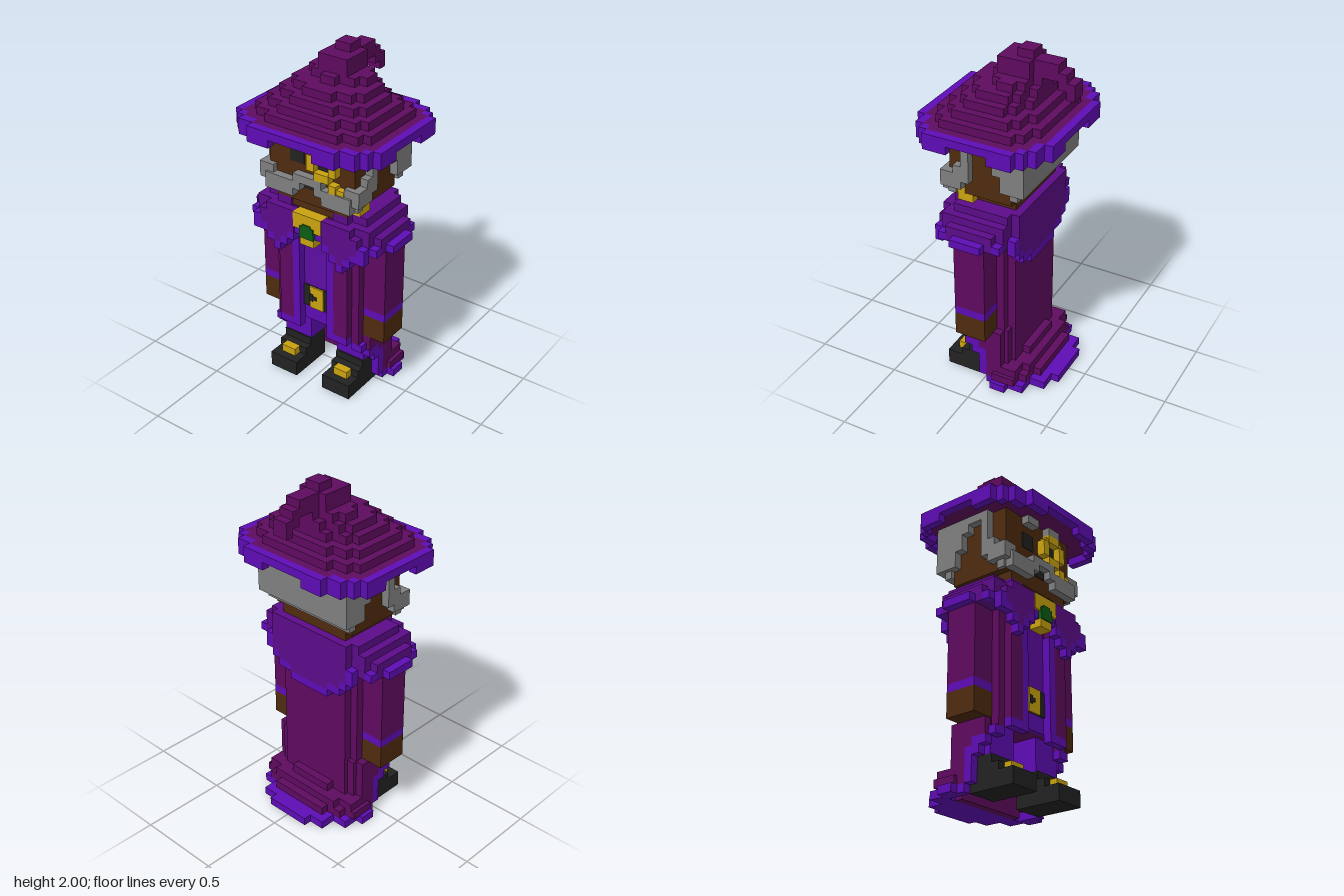
import * as THREE from 'three';
import { mergeGeometries } from 'three/addons/utils/BufferGeometryUtils.js';

const V = 2 / 43; // one block

const mat = (name, color) => {
  const m = new THREE.MeshStandardMaterial({ color });
  m.name = name;
  return m;
};

// each box: [x0, x1, y0, y1, z0, z1] in blocks
const mx = (list) => list.flatMap((b) => [b, [-b[1], -b[0], ...b.slice(2)]]);
const mz = (list) => list.flatMap((b) => [b, [...b.slice(0, 4), -b[5], -b[4]]]);

export function createModel() {
  const root = new THREE.Group();
  root.name = 'wizard';
  const plum = mat('plum cloth', 0x5e0b5e);
  const trim = mat('violet trim', 0x5e0cb4);
  const cape = mat('collar purple', 0x5b0c88);
  const tunicM = mat('tunic purple', 0x5c0da2);
  const skin = mat('brown skin', 0x4f2a0e);
  const hairM = mat('grey hair', 0x7f7f7f);
  const gold = mat('gold', 0xc9a20f);
  const dark = mat('black leather', 0x222222);
  const green = mat('green gem', 0x0c5c14);

  const part = (name, material, boxes) => {
    const geos = boxes.map(([x0, x1, y0, y1, z0, z1]) =>
      new THREE.BoxGeometry((x1 - x0) * V, (y1 - y0) * V, (z1 - z0) * V)
        .translate((x0 + x1) / 2 * V, (y0 + y1) / 2 * V, (z0 + z1) / 2 * V));
    const mesh = new THREE.Mesh(mergeGeometries(geos), material);
    mesh.name = name;
    root.add(mesh);
  };
  // rounded slab: three overlapping boxes with stepped corners
  const slab = (w, y, zb, zf) => [
    [-w, w, y, y + 1, zb + 2, zf - 2],
    [-w + 1, w - 1, y, y + 1, zb + 1, zf - 1],
    [-w + 3, w - 3, y, y + 1, zb, zf],
  ];

  // hat: brim ring, stepped crown, hooked tip
  part('hatBrim', trim, [
    ...mz([[-3, 3, 34, 35, 7.5, 8.5]]),
    ...mx([[9, 10, 34, 35, -2.5, 2.5]]),
    ...mx(mz([
      [3, 6, 33, 35, 7.5, 8.5], [6, 8, 33, 35, 6.5, 7.5],
      [8, 9, 33, 35, 5.5, 6.5], [9, 10, 33, 35, 2.5, 5.5],
    ])),
  ]);
  part('hatCrown', plum, [
    [-9, 9, 34, 35, -5.5, 5.5], [-8, 8, 34, 35, -6.5, 6.5], [-6, 6, 34, 35, -7.5, 7.5],
    ...slab(8, 35, -6.5, 6.5), ...slab(7, 36, -5.5, 5.5), ...slab(6, 37, -4.5, 4.5),
    ...slab(5, 38, -4.5, 3.5), ...slab(4, 39, -4.5, 1.5),
    [-2, 2, 40, 42, -3.5, 0.5], [-1, 1, 42, 43, -3.5, -1.5],
  ]);
  part('hatTip', plum, [
    [-1, 1, 41, 42, -6.5, -3.5], [-1, 1, 40, 41, -7.5, -3.5],
    [-1, 1, 39, 40, -8.5, -6.5], [-1, 1, 38, 39, -8.5, -7.5],
  ]);

  // head
  part('head', skin, [[-6, 6, 26, 34, -3.5, 4.5], [-5, 5, 25, 26, -3.5, 4.5], [-3, 3, 24, 25, -3, 4.2]]);
  part('hair', hairM, [
    [-7, 7, 28, 34, -5.5, -3.5], [-6.5, 6.5, 27, 28, -4.5, -3.5],
    ...mx([
      [6, 7, 28, 34, -3.5, -2.5], [6, 7, 30, 34, -2.5, -1.5],
      [6, 7, 32, 34, -1.5, -0.5], [6, 7, 33, 34, -0.5, 2.5],
    ]),
  ]);
  part('beard', hairM, [
    [-2, 2, 28, 29, 4.5, 5.5],
    ...mx([
      [6, 7, 29, 33, 1.5, 2.5], [6, 7, 28, 30, 1.5, 3.5], [6, 7, 27, 29, 2.5, 4.5],
      [5, 7, 27, 29, 4.5, 5.2], [1, 4, 27, 28, 4.5, 5.5], [4, 6, 26, 28, 4.5, 5.5],
      [2, 4, 26, 27, 4.5, 5.5], [5.5, 6.4, 26, 27, 3.5, 4.5],
    ]),
  ]);
  part('eyebrows', hairM, mx([[1, 3, 33, 34, 4.5, 5.5]]));
  part('eyes', dark, mx([[1, 3, 30, 32, 4.5, 4.6]]));
  part('mouth', dark, [[-1, 1, 27, 28, 4.5, 4.6]]);
  part('monocle', gold, [
    [1, 3, 32, 33, 4.5, 5.5], [1, 3, 29, 30, 4.5, 5.5],
    [0, 1, 30, 32, 4.5, 5.5], [3, 4, 30, 32, 4.5, 5.5],
    [0.5, 1, 32, 32.5, 4.5, 5.4], [3, 3.5, 32, 32.5, 4.5, 5.4],
  ]);
  part('monocleChain', gold, [
    [3, 4, 28, 29, 4.5, 5.5], [4, 5, 28, 28.6, 4.5, 5.3],
    [5, 6.1, 26, 27, 2.5, 3.5], [5, 6, 25, 26, 1.5, 3.5],
  ]);

  // robe body, with stepped corners, and its open lower half
  part('robe', plum, [
    [-5, 5, 8, 24, -3.5, 3],
    ...mx([
      [3, 5, 8, 24, 3, 4.5], [5, 6, 8, 24, -2.5, 3.5], [6, 7, 8, 24, -1.4, 2.4],
    ]),
  ]);
  part('robeSkirt', plum, [
    [-5, 5, 0, 8, -3.5, -2.5], [-5, 5, 2, 3, -5.5, -3.5], [-3, 3, 3, 4, -4.5, -3.5],
    [-6, 6, 1, 2, -5.5, -3.5], [-4, 4, 1, 2, -6.5, -5.5],
    ...mx([
      [5, 6, 1, 8, -3, -1.5], [6, 7, 1, 8, -2.5, -0.5],
      [6, 7, 5, 8, -0.5, 0.5], [6, 7, 6, 8, 0.5, 2.4],
      [5, 6, 7, 8, 2.5, 3.5], [5, 7, 2, 3, -4.5, -2.5], [6, 7.5, 1, 2, -4.5, -1.5],
    ]),
  ]);
  part('robeHem', trim, [
    [-7, 7, 0, 1, -5.5, -3.5], [-5, 5, 0, 1, -7.5, -5.5], [-3, 3, 0, 1, -8.5, -7.5],
    ...mx([
      [6, 8, 0, 1, -3.5, -1.5], [6, 7, 0, 1, -1.5, -0.5], [6, 7, 1, 5, -0.5, 0.5],
      [6, 7, 4, 6, 0.5, 1.5], [6, 7, 5, 6, 1.5, 2.5], [5, 6.5, 6, 7, 2.5, 3.5],
      [2, 5, 7, 8, 3.5, 4.5], [2, 3, 8, 20, 3, 4.5],
    ]),
  ]);
  part('tunic', tunicM, [[-2, 2, 10, 23, 2.5, 3.5]]);
  part('tunicHem', trim, [[-2, 2, 8, 10, 2.5, 3.5]]);

  // shoulder collar
  part('collar', cape, [
    [-6, 6, 24, 25, -4.5, -3],
    [-6, 6, 20, 24, -4.5, -3.5], [-5, 5, 19, 20, -4.5, -3.5], [-3, 3, 18, 19, -4.5, -3.5],
    ...mx([
      [3, 7, 24, 25, -3.5, 3.5], [3, 5, 24, 25, 3.5, 4.5],
      [3, 8, 23, 24, -3.5, 4.5], [3, 9, 22, 23, -2.5, 3.5],
      [2, 6, 23, 24, 4.5, 5.5], [2, 7, 21, 23, 4.5, 5.5], [6, 8, 22, 23, -3.5, 4.5],
      [3, 6, 20, 21, 4.5, 5.5], [4, 5, 19, 20, 4.5, 5.5],
      [5, 8, 21, 22, -3.5, 4.5], [7, 9, 21, 22, -2.5, 3.5],
    ]),
  ]);
  part('collarEdge', trim, [
    [-3, 3, 17, 18, -4.5, -3.5],
    ...mx([
      [3, 5, 18, 19, -4.5, -3.5], [5, 6, 19, 20, -4.5, -3.5], [6, 7, 20, 22, -4.5, -3.5],
      [9, 10, 21, 22, -1.5, 2.5], [8, 9, 21, 22, 3.5, 4.5], [8, 9, 21, 22, -3.5, -2.5],
      [7, 8, 20, 22, 4.5, 5.5], [6, 7, 20, 21, 4.5, 5.5], [5, 6, 19, 20, 4.5, 5.5],
      [4, 5, 18, 19, 4.5, 5.5], [3, 4, 19, 20, 4.5, 5.5], [2, 3, 20, 21, 4.5, 5.5],
      [1, 2, 21, 22, 4.3, 5.3],
    ]),
  ]);
  part('brooch', gold, [[-2, 2, 22, 24, 4, 5.6], [-1, 1, 20, 21, 4, 5.6]]);
  part('gem', green, [[-1, 1, 21, 22.5, 4, 5.75], [-0.6, 0.6, 22.5, 22.8, 4, 5.75]]);

  // belt
  part('belt', dark, [[-2, 2, 10, 13, 3.5, 3.7]]);
  part('beltBuckle', gold, [[-1, 1, 10, 13, 3.7, 3.85]]);
  part('buckleNotch', dark, [[-1, -0.5, 11, 12, 3.85, 3.95], [-0.5, 0, 11.25, 11.75, 3.85, 3.95]]);

  // arms
  part('sleeves', plum, mx([[6, 9, 12, 21, -1.5, 2.5]]));
  part('cuffs', trim, mx([[6, 9, 11, 12, -1.5, 2.5]]));
  part('hands', skin, mx([[6, 9, 8, 11, -1.5, 2.5]]));

  // legs and boots
  part('trousers', trim, mx([[2, 6, 4, 8, -1.5, 2.3]]));
  part('boots', dark, mx([[2, 6, 0, 2, -0.5, 5.5], [2, 6, 2, 3, -0.5, 3.5], [2, 6, 3, 4, -0.5, 2.5]]));
  part('bootBuckles', gold, mx([[3, 5, 2, 3, 3.5, 4.5]]));

  return root;
}
